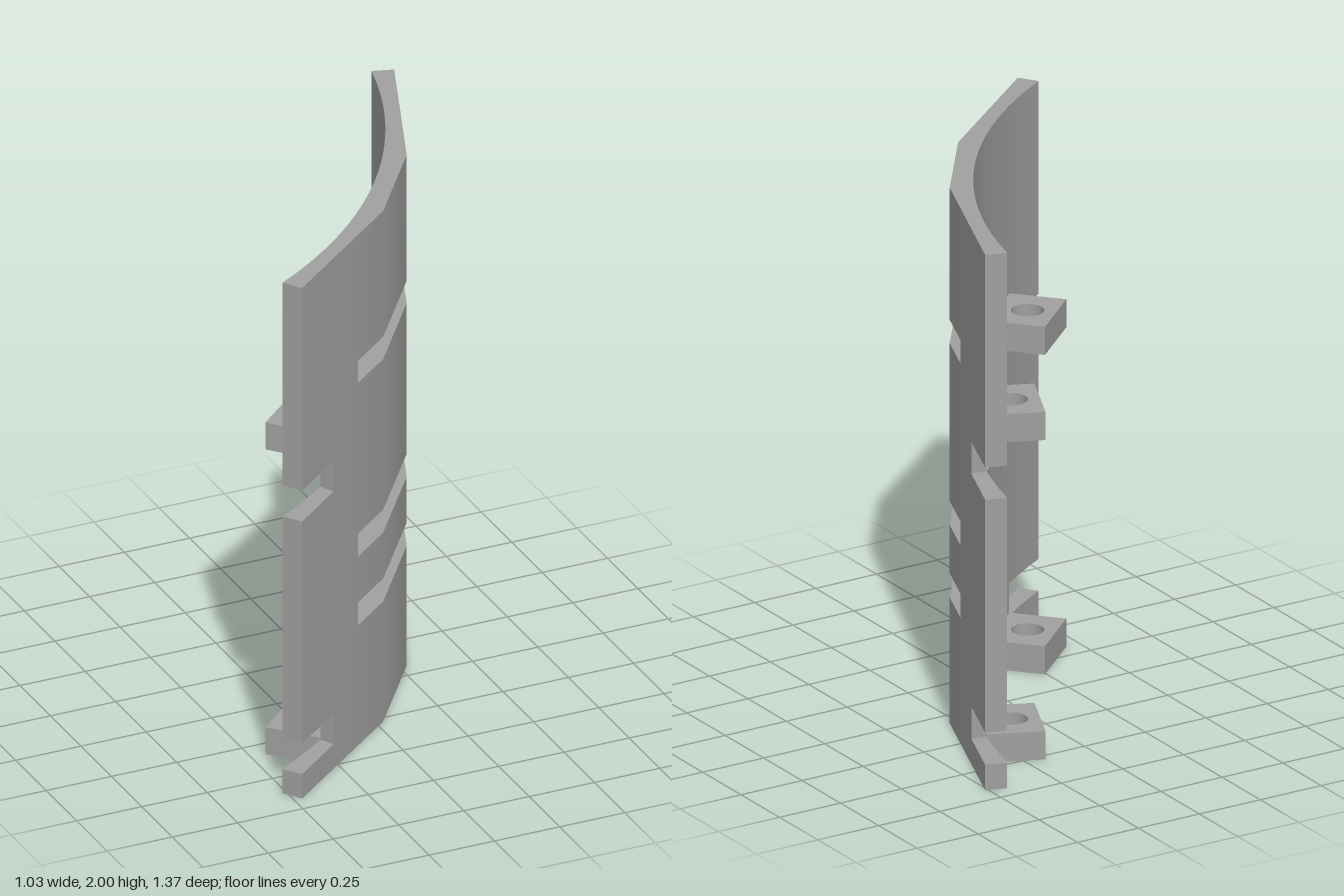
import * as THREE from 'three';
import { toCreasedNormals } from 'three/addons/utils/BufferGeometryUtils.js';

const V = (x, y, z) => new THREE.Vector3(x, y, z);

// Curved panel: a grid of cells between an outer three-facet face and an inner arc
function panelGeometry() {
  // half columns: [outer x, inner x]
  const key = [[0, 0], [0.2135, 0.205], [0.406, 0.406], [0.591, 0.565], [0.833, 0.807]];
  const half = [];
  const SUB = 3;
  for (let k = 0; k < key.length - 1; k++) {
    for (let s = 0; s < SUB; s++) {
      half.push([0, 1].map(n => THREE.MathUtils.lerp(key[k][n], key[k + 1][n], s / SUB)));
    }
  }
  half.push(key[key.length - 1]);
  const cols = [...half.slice(1).reverse().map(([a, b]) => [-a, -b]), ...half];

  const outerZ = x => 0.24 - 0.267 * Math.max(0, Math.abs(x) - 0.2135);
  const innerZ = x => Math.sqrt(2.02 ** 2 - x * x) - 1.852;
  const outerNormal = x => V(0.267 * THREE.MathUtils.clamp(x / 0.406, -1, 1), 0, 1).normalize();
  const innerNormal = x => V(-x, 0, -innerZ(x) - 1.852).normalize();

  // rows, with the slots and edge notches cut out
  const ys = [0, 0.095, 0.215, 0.47, 0.56, 0.74, 0.83, 1.085, 1.205, 1.42, 1.507, 2];
  const notchRows = [1, 7];
  const slotRows = [3, 5, 9];
  const solid = (i, j) => {
    if (i < 0 || j < 0 || i >= cols.length - 1 || j >= ys.length - 1) return false;
    const mid = Math.abs(cols[i][0] + cols[i + 1][0]) / 2;
    if (notchRows.includes(j)) return mid < 0.591;
    if (slotRows.includes(j)) return mid > 0.406;
    return true;
  };

  const pos = [], nor = [];
  const quad = (p, n) => {
    const flat = V().subVectors(p[1], p[0]).cross(V().subVectors(p[2], p[0])).normalize();
    for (const k of [0, 1, 2, 0, 2, 3]) {
      pos.push(...p[k].toArray());
      nor.push(...(n ? n[k] : flat).toArray());
    }
  };
  const O = (i, j) => V(cols[i][0], ys[j], outerZ(cols[i][0]));
  const I = (i, j) => V(cols[i][1], ys[j], innerZ(cols[i][1]));

  for (let i = 0; i < cols.length - 1; i++) {
    const a = i, b = i + 1;
    const on = [a, b].map(k => outerNormal(cols[k][0]));
    const inn = [a, b].map(k => innerNormal(cols[k][1]));
    for (let j = 0; j < ys.length - 1; j++) {
      if (!solid(i, j)) continue;
      const t = j + 1;
      quad([O(a, j), O(b, j), O(b, t), O(a, t)], [on[0], on[1], on[1], on[0]]);
      quad([I(b, j), I(a, j), I(a, t), I(b, t)], [inn[1], inn[0], inn[0], inn[1]]);
      if (!solid(i + 1, j)) quad([O(b, j), I(b, j), I(b, t), O(b, t)]);
      if (!solid(i - 1, j)) quad([I(a, j), O(a, j), O(a, t), I(a, t)]);
      if (!solid(i, j + 1)) quad([O(a, t), O(b, t), I(b, t), I(a, t)]);
      if (!solid(i, j - 1)) quad([I(a, j), I(b, j), O(b, j), O(a, j)]);
    }
  }
  const g = new THREE.BufferGeometry();
  g.setAttribute('position', new THREE.Float32BufferAttribute(pos, 3));
  g.setAttribute('normal', new THREE.Float32BufferAttribute(nor, 3));
  return g;
}

// Square mounting lug with a vertical bolt hole
function lugGeometry() {
  const s = new THREE.Shape();
  s.moveTo(-0.135, -0.106);
  s.lineTo(0.135, -0.106);
  s.lineTo(0.135, 0.101);
  s.lineTo(-0.135, 0.101);
  s.closePath();
  const hole = new THREE.Path();
  hole.absarc(0, 0, 0.058, 0, Math.PI * 2, true);
  s.holes.push(hole);
  const g = new THREE.ExtrudeGeometry(s, { depth: 0.105, bevelEnabled: false, curveSegments: 32 });
  g.rotateX(-Math.PI / 2);
  return toCreasedNormals(g, 0.6);
}

export function createModel() {
  const grey = new THREE.MeshStandardMaterial({ color: 0xa0a0a0 });
  grey.name = 'grey';

  const model = new THREE.Group();
  model.name = 'curvedBracket';

  // The bracket is built facing +z, then turned to its diagonal position
  const bracket = new THREE.Group();
  bracket.name = 'bracket';
  bracket.rotation.y = 0.941;
  bracket.position.set(-0.04, 0, -0.037);
  model.add(bracket);

  const panel = new THREE.Mesh(panelGeometry(), grey);
  panel.name = 'slottedPanel';
  bracket.add(panel);

  // Four lugs on the inner side
  const lug = lugGeometry();
  for (const [level, y] of [['lower', 0], ['upper', 1.193]]) {
    for (const [side, sx] of [['Left', 1], ['Right', -1]]) {
      const m = new THREE.Mesh(lug, grey);
      m.name = `${level}${side}Lug`;
      m.position.set(sx * 0.419, y, 0.012);
      m.rotation.y = sx * 0.21;
      bracket.add(m);
    }
  }
  return model;
}
